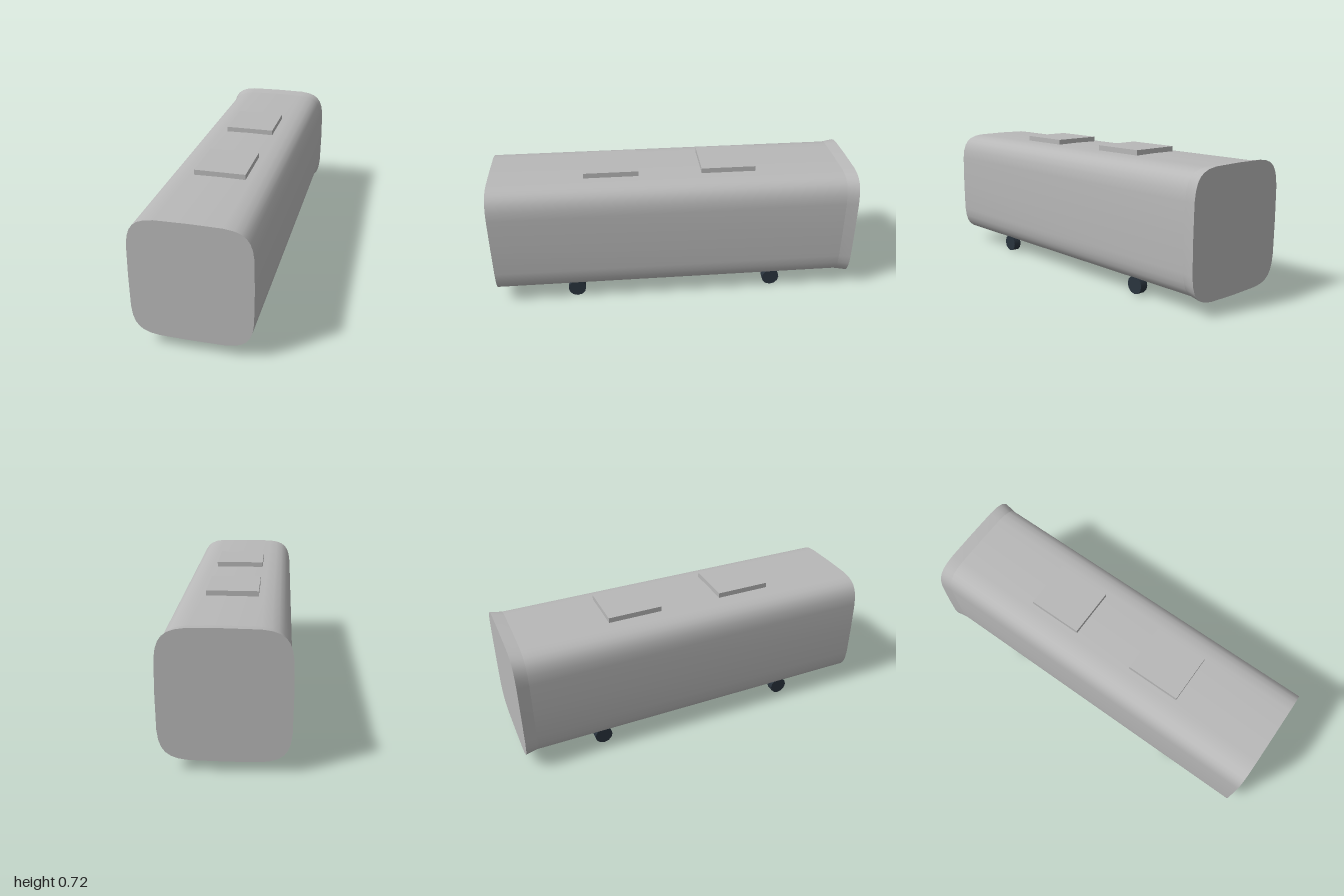
import * as THREE from 'three';

const SIDES = 32;
const CENTER_Y = 0.38;

// Rounded-square ring point, as a superellipse
function ringPoint(i, halfW, halfH) {
  const t = (i / SIDES) * Math.PI * 2;
  const bend = (v) => (Math.abs(v) < 1e-9 ? 0 : Math.sign(v) * Math.pow(Math.abs(v), 0.385));
  return [bend(Math.cos(t)) * halfW, CENTER_Y + bend(Math.sin(t)) * halfH];
}

// Smooth tube between a front and a back section [z, halfW, halfH]
function shell(front, back) {
  const pos = [], index = [];
  for (const [z, w, h] of [front, back]) {
    for (let i = 0; i < SIDES; i++) pos.push(...ringPoint(i, w, h), z);
  }
  for (let i = 0; i < SIDES; i++) {
    const j = (i + 1) % SIDES;
    index.push(i, i + SIDES, j, j, i + SIDES, j + SIDES);
  }
  const geo = new THREE.BufferGeometry();
  geo.setAttribute('position', new THREE.Float32BufferAttribute(pos, 3));
  geo.setIndex(index);
  geo.computeVertexNormals();
  return geo;
}

// Flat end panel, facing +z
function panel(halfW, halfH) {
  const pts = [];
  for (let i = 0; i < SIDES; i++) pts.push(new THREE.Vector2(...ringPoint(i, halfW, halfH)));
  return new THREE.ShapeGeometry(new THREE.Shape(pts));
}

export function createModel() {
  const model = new THREE.Group();
  const grey = new THREE.MeshStandardMaterial({ color: 0xb8b8b8 });
  grey.name = 'bodyGrey';
  const dark = new THREE.MeshStandardMaterial({ color: 0x2a343e });
  dark.name = 'wheelDark';

  const add = (name, geo, mat, x = 0, y = 0, z = 0) => {
    const mesh = new THREE.Mesh(geo, mat);
    mesh.name = name;
    mesh.position.set(x, y, z);
    model.add(mesh);
    return mesh;
  };

  // Long body with a slightly flared rear rim
  add('body', shell([1, 0.304, 0.316], [-0.935, 0.304, 0.316]), grey);
  add('rearFlare', shell([-0.935, 0.304, 0.316], [-1, 0.314, 0.325]), grey);
  add('frontPanel', panel(0.304, 0.316), grey, 0, 0, 1);
  add('rearPanel', panel(0.314, 0.325).rotateY(Math.PI), grey, 0, 0, -1);

  // Roof units
  const roofGeo = new THREE.BoxGeometry(0.268, 0.034, 0.298);
  add('frontRoofUnit', roofGeo, grey, 0, 0.705, 0.338);
  add('rearRoofUnit', roofGeo, grey, 0, 0.705, -0.305);

  // Four wheels
  const wheelGeo = new THREE.CylinderGeometry(0.049, 0.049, 0.044, 12).rotateZ(Math.PI / 2);
  for (const [end, z] of [['front', 0.56], ['rear', -0.56]]) {
    for (const [side, s] of [['Left', 1], ['Right', -1]]) {
      add(`${end}${side}Wheel`, wheelGeo, dark, s * 0.225, 0.049, z);
    }
  }
  return model;
}
